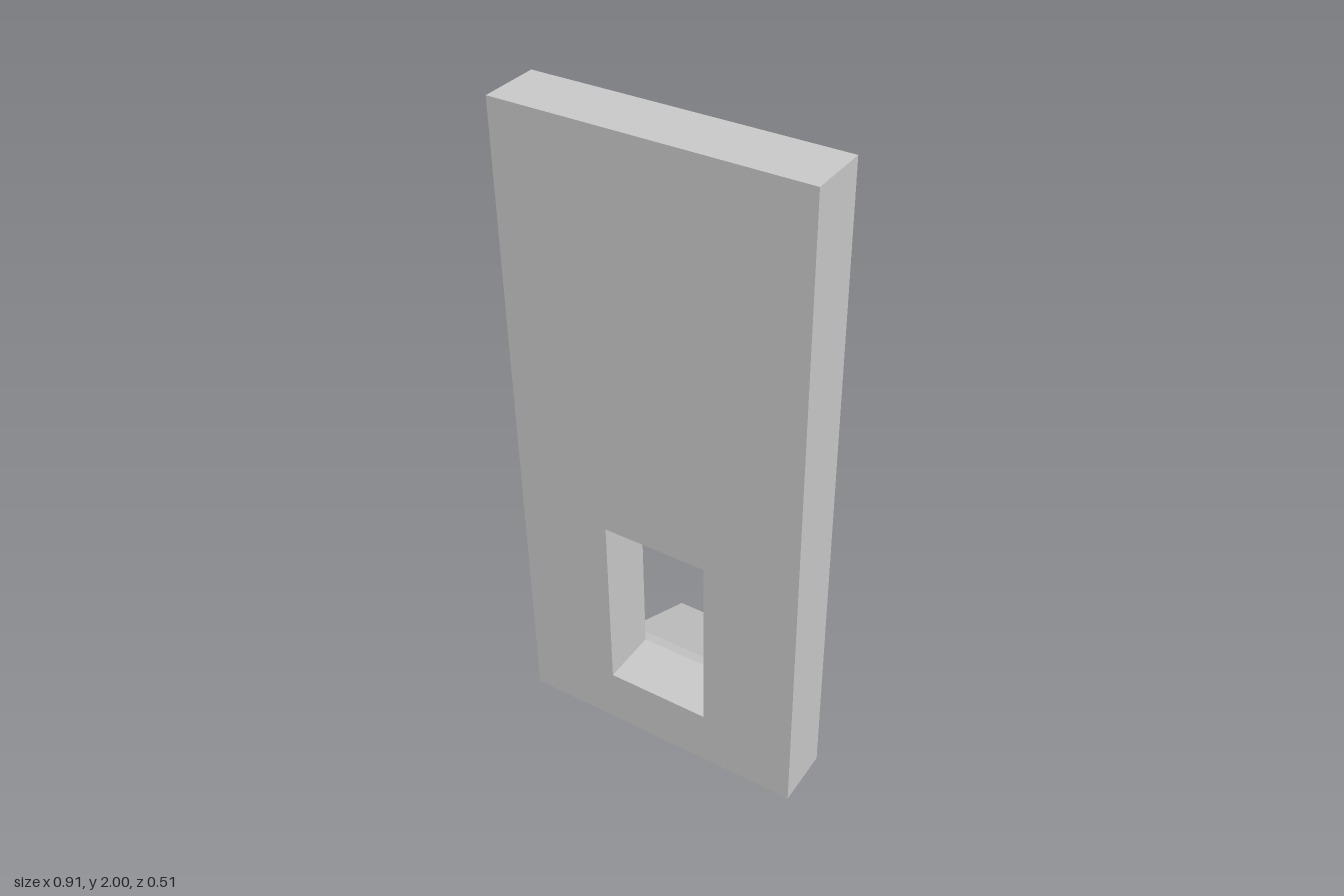
import * as THREE from 'three';

const material = new THREE.MeshStandardMaterial({ color: 0xcccccc });

function shapeFrom(points) {
  return new THREE.Shape(points.map(([x, y]) => new THREE.Vector2(x, y)));
}

function rect(x0, x1, y0, y1) {
  return [[x0, y0], [x1, y0], [x1, y1], [x0, y1]];
}

function extrude(name, shape, depth) {
  const geometry = new THREE.ExtrudeGeometry(shape, { depth, bevelEnabled: false });
  const mesh = new THREE.Mesh(geometry, material);
  mesh.name = name;
  return mesh;
}

export function createModel() {
  const group = new THREE.Group();
  group.name = 'panelWithRamp';

  // Upright slab with a rectangular opening through it
  const slab = shapeFrom(rect(-0.453, 0.453, 0, 2));
  slab.holes.push(shapeFrom(rect(-0.163, 0.161, 0.183, 0.765)));
  const panel = extrude('panel', slab, 0.181);
  panel.position.z = 0.073;
  group.add(panel);

  // Solid ramp behind the opening: profile is (distance behind the panel, height)
  const profile = shapeFrom([[0, 0], [0.327, 0], [0.327, 0.04], [0.04, 0.17], [0, 0.181]]);
  const ramp = extrude('ramp', profile, 0.49);
  ramp.rotation.y = Math.PI / 2; // profile runs toward -z, width runs along +x
  ramp.position.set(-0.237, 0, 0.073);
  group.add(ramp);

  return group;
}
